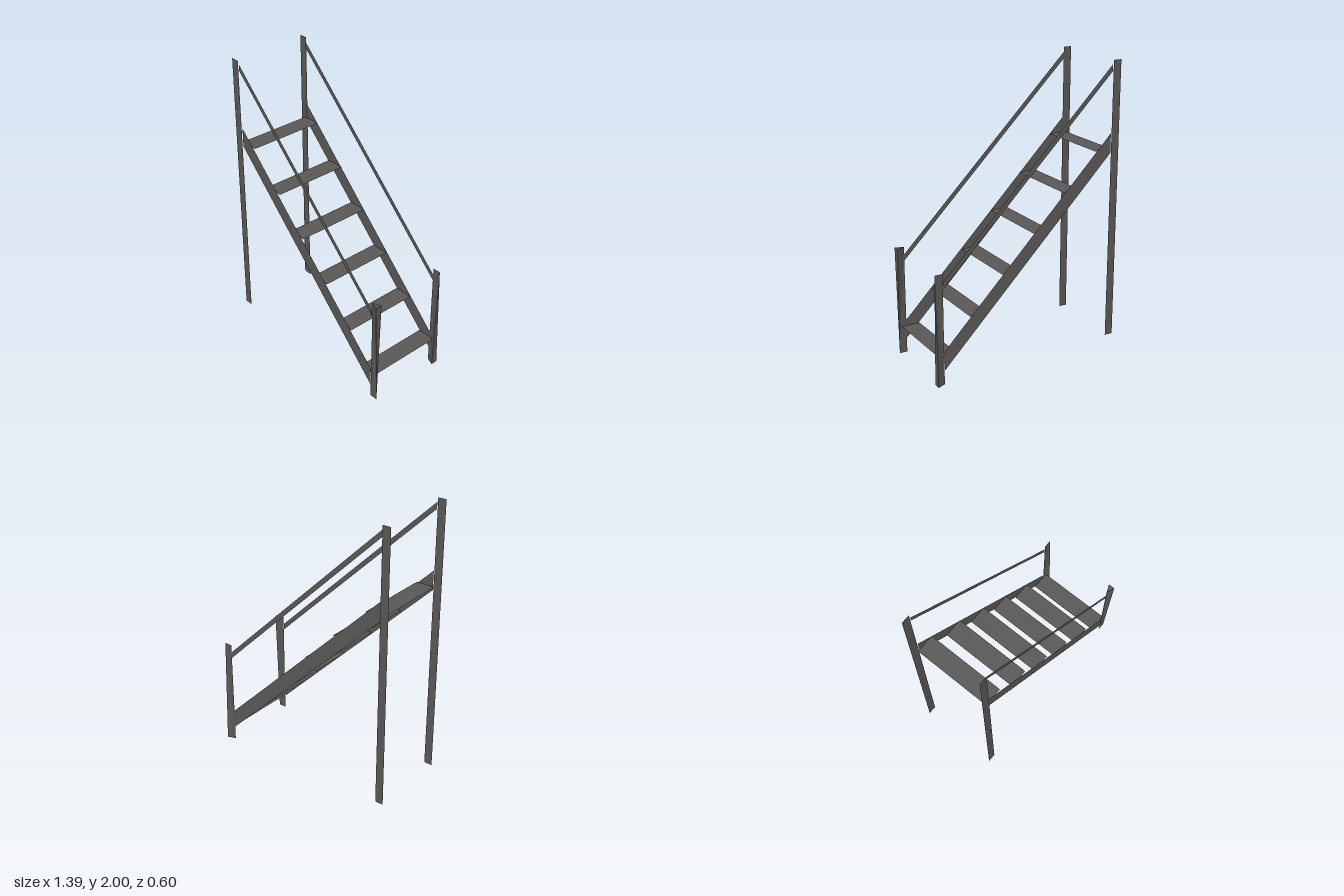
import * as THREE from 'three';

const X0 = -0.697, X1 = -0.637, X2 = 0.638, X3 = 0.695;        // edges of the high and low posts
const HIGH_POST_Z = 0.288, STRINGER_Z = 0.281, LOW_POST_Z = 0.277;

// Flat upright plate from corners in the x/y plane
function plate(corners, z, material, name) {
  const shape = new THREE.Shape(corners.map(([x, y]) => new THREE.Vector2(x, y)));
  const mesh = new THREE.Mesh(new THREE.ShapeGeometry(shape), material);
  mesh.position.z = z;
  mesh.name = name;
  return mesh;
}

// Post with a triangular end that tapers to a straight edge at the other end
function taperedPost(height, halfWidth, material) {
  const a = [X2, height, 0], b = [X3, height, halfWidth], c = [X3, height, -halfWidth];
  const d = [X2, 0, 0], e = [X3, 0, 0];
  const faces = [a, b, c, a, d, e, a, e, b, a, e, d, a, c, e, b, e, c];
  const geometry = new THREE.BufferGeometry();
  geometry.setAttribute('position', new THREE.Float32BufferAttribute(faces.flat(), 3));
  geometry.computeVertexNormals();
  const mesh = new THREE.Mesh(geometry, material);
  mesh.name = 'lowPost';
  return mesh;
}

export function createModel() {
  const model = new THREE.Group();
  model.name = 'staircase';
  const steel = new THREE.MeshStandardMaterial({ color: 0x5a5856, side: THREE.DoubleSide });
  steel.name = 'dark grey steel';

  // Both sides: high post, stringer, handrail and low post
  for (const s of [1, -1]) {
    const side = new THREE.Group();
    side.name = s > 0 ? 'frontSide' : 'backSide';
    side.add(
      plate([[X0, 0.04], [X1, 0.04], [X1, 2], [X0, 2]], s * HIGH_POST_Z, steel, 'highPost'),
      plate([[X1, 1.374], [X2, 0.1], [X2, 0.235], [X1, 1.51]], s * STRINGER_Z, steel, 'stringer'),
      plate([[X1, 1.926], [X2, 0.671], [X2, 0.716], [X1, 1.972]], s * STRINGER_Z, steel, 'handrail'),
    );
    // The back post is the front one turned upside down
    const post = taperedPost(0.773, 0.0235, steel);
    post.position.z = s * LOW_POST_Z;
    if (s < 0) {
      post.rotation.x = Math.PI;
      post.position.y = 0.773;
    }
    side.add(post);
    model.add(side);
  }

  // Treads: centre x and height
  const treads = [[-0.584, 1.4], [-0.334, 1.155], [-0.102, 0.915], [0.131, 0.672], [0.373, 0.43], [0.607, 0.197]];
  for (const [x, y] of treads) {
    const tread = new THREE.Mesh(new THREE.PlaneGeometry(0.132, 0.552), steel);
    tread.rotation.x = -Math.PI / 2;
    tread.position.set(x, y, -0.003);
    tread.name = 'tread';
    model.add(tread);
  }
  return model;
}
